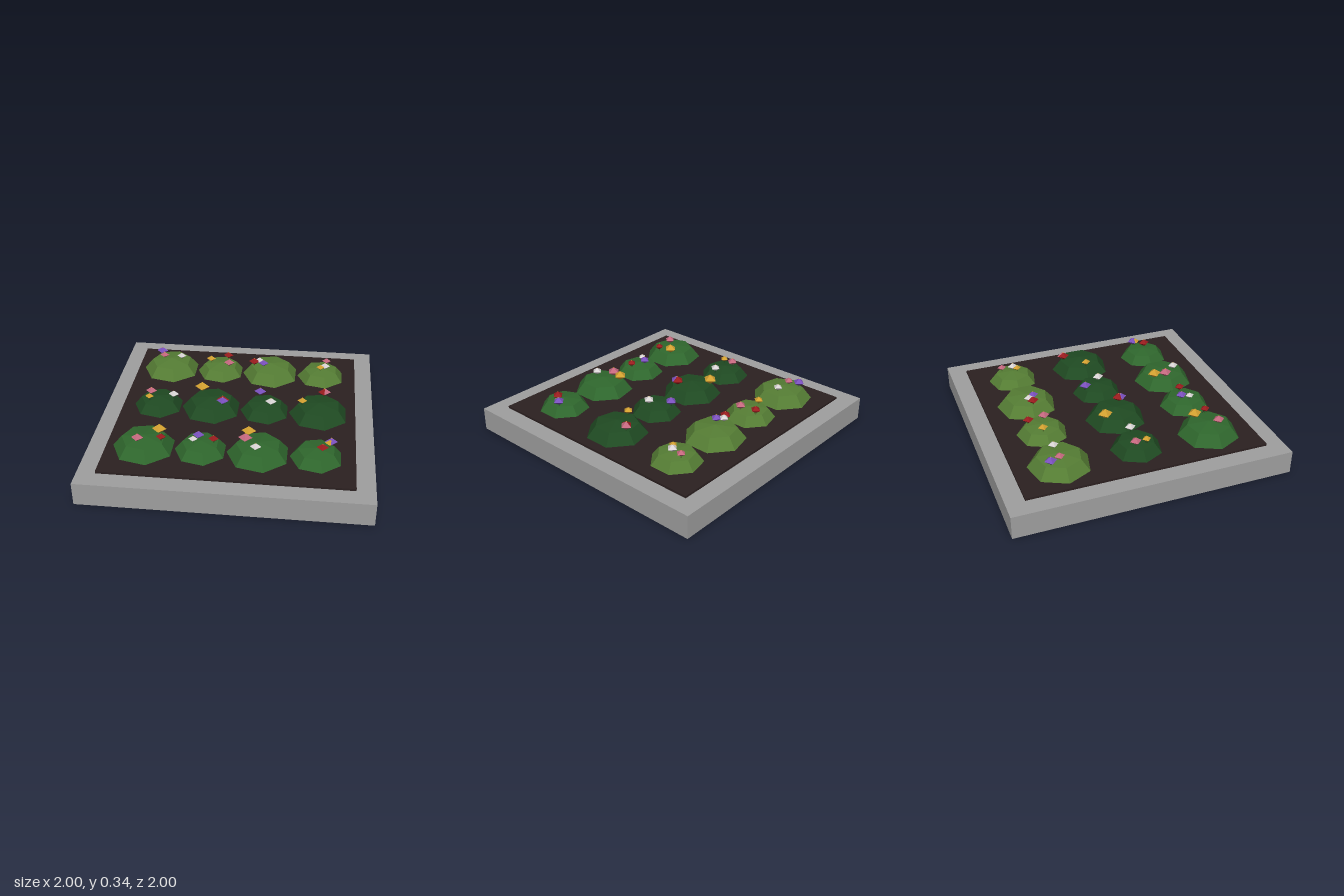
import * as THREE from 'three';

const mat = (name, color, double = false) => {
  const m = new THREE.MeshStandardMaterial({ color, flatShading: true });
  m.name = name;
  if (double) m.side = THREE.DoubleSide;
  return m;
};

export function createModel() {
  const M = {
    stone: mat('stone', 0x9f9f9f, true),
    soil: mat('soil', 0x2b2020, true),
    lime: mat('limeLeaf', 0x557d34),
    dark: mat('darkLeaf', 0x1f4a22),
    green: mat('greenLeaf', 0x2f672d),
    purple: mat('purplePetal', 0x7a50bd),
    pink: mat('pinkPetal', 0xc4687e),
    white: mat('whitePetal', 0xd8d4d4),
    yellow: mat('yellowPetal', 0xd2a030),
    red: mat('redPetal', 0x981c1e),
  };
  const group = new THREE.Group();
  group.name = 'flowerBed';
  const add = (parent, name, geo, material, x = 0, y = 0, z = 0) => {
    const mesh = new THREE.Mesh(geo, material);
    mesh.name = name;
    mesh.position.set(x, y, z);
    parent.add(mesh);
    return mesh;
  };

  const RIM = 0.17, SOIL = 0.186, HALF = 0.87;

  // Planter: four thin walls, open underneath, with a flat rim on top
  for (let i = 0; i < 4; i++) {
    const a = (i * Math.PI) / 2;
    const wall = add(group, 'planterWall', new THREE.PlaneGeometry(2, RIM), M.stone, Math.sin(a), RIM / 2, Math.cos(a));
    wall.rotation.y = a;
    const edge = add(group, 'soilEdge', new THREE.PlaneGeometry(2 * HALF, SOIL - RIM), M.soil,
      HALF * Math.sin(a), (RIM + SOIL) / 2, HALF * Math.cos(a));
    edge.rotation.y = a;
  }
  const square = (h) => [[-h, -h], [h, -h], [h, h], [-h, h]].map(([x, y]) => new THREE.Vector2(x, y));
  const rimShape = new THREE.Shape(square(1));
  rimShape.holes.push(new THREE.Path(square(HALF)));
  add(group, 'planterRim', new THREE.ShapeGeometry(rimShape).rotateX(-Math.PI / 2), M.stone, 0, RIM, 0);

  // Soil sheet with the planter's panel just below it
  const sheet = new THREE.PlaneGeometry(2 * HALF, 2 * HALF).rotateX(-Math.PI / 2);
  add(group, 'soil', sheet, M.soil, 0, SOIL, 0);
  add(group, 'planterPanel', sheet, M.stone, 0, SOIL - 0.004, 0);

  // Bushes: seven-sided faceted domes, alternating large and small
  const dome = new THREE.LatheGeometry(
    [[1, 0], [0.707, 0.36], [0, 0.455]].map(([x, y]) => new THREE.Vector2(x, y)), 7, -Math.PI / 2);
  const rows = [
    { z: -0.555, leaf: M.lime, first: 0 },
    { z: 0, leaf: M.dark, first: 1 },
    { z: 0.55, leaf: M.green, first: 0 },
  ];
  // Flowers per bush: colour, x, z, radius
  const flowers = [
    [
      [['purple', -0.69, -0.64, 0.045], ['pink', -0.66, -0.57, 0.037], ['white', -0.52, -0.57, 0.037]],
      [['yellow', -0.28, -0.57, 0.037], ['red', -0.15, -0.64, 0.04], ['pink', -0.13, -0.52, 0.042]],
      [['red', 0.07, -0.54, 0.043], ['white', 0.11, -0.56, 0.038], ['purple', 0.145, -0.52, 0.04]],
      [['pink', 0.64, -0.63, 0.035], ['white', 0.63, -0.545, 0.04], ['yellow', 0.595, -0.52, 0.033]],
    ],
    [
      [['pink', -0.66, -0.03, 0.042], ['yellow', -0.66, 0.05, 0.033], ['white', -0.485, 0, 0.04]],
      [['yellow', -0.285, -0.11, 0.055], ['red', -0.107, 0.06, 0.048], ['purple', -0.107, 0.075, 0.045]],
      [['purple', 0.155, -0.107, 0.045], ['white', 0.245, 0.027, 0.043]],
      [['red', 0.63, -0.125, 0.044], ['pink', 0.637, -0.13, 0.045], ['yellow', 0.475, 0.01, 0.037]],
    ],
    [
      [['yellow', -0.5, 0.487, 0.052], ['pink', -0.63, 0.61, 0.043], ['red', -0.47, 0.583, 0.035]],
      [['purple', -0.22, 0.514, 0.042], ['white', -0.25, 0.567, 0.033], ['red', -0.11, 0.55, 0.037]],
      [['yellow', 0.123, 0.444, 0.052], ['pink', 0.107, 0.53, 0.05], ['white', 0.187, 0.63, 0.04]],
      [['purple', 0.695, 0.498, 0.045], ['yellow', 0.685, 0.514, 0.035], ['red', 0.637, 0.573, 0.042]],
    ],
  ];

  const petal = new THREE.OctahedronGeometry(1);
  const stalk = new THREE.CylinderGeometry(0.006, 0.006, 0.07, 5);
  rows.forEach(({ z, leaf, first }, r) => {
    for (let c = 0; c < 4; c++) {
      const large = (c + first) % 2 === 0;
      const size = large ? 0.221 : 0.184;
      const bush = new THREE.Group();
      bush.name = 'bush';
      group.add(bush);
      add(bush, 'leaves', dome, leaf, -0.6 + 0.4 * c, SOIL, z).scale.setScalar(size);
      // Blossoms on short stalks, each with a small bright heart
      for (const [colour, fx, fz, fr] of flowers[r][c]) {
        const y = large ? 0.303 : 0.291;
        add(bush, 'stalk', stalk, leaf, fx, y - 0.035, fz);
        add(bush, 'blossom', petal, M[colour], fx, y, fz).scale.set(fr, fr * 0.7, fr);
        add(bush, 'blossomHeart', petal, M.yellow, fx, y + fr * 0.45, fz).scale.setScalar(fr * 0.28);
      }
    }
  });
  return group;
}
